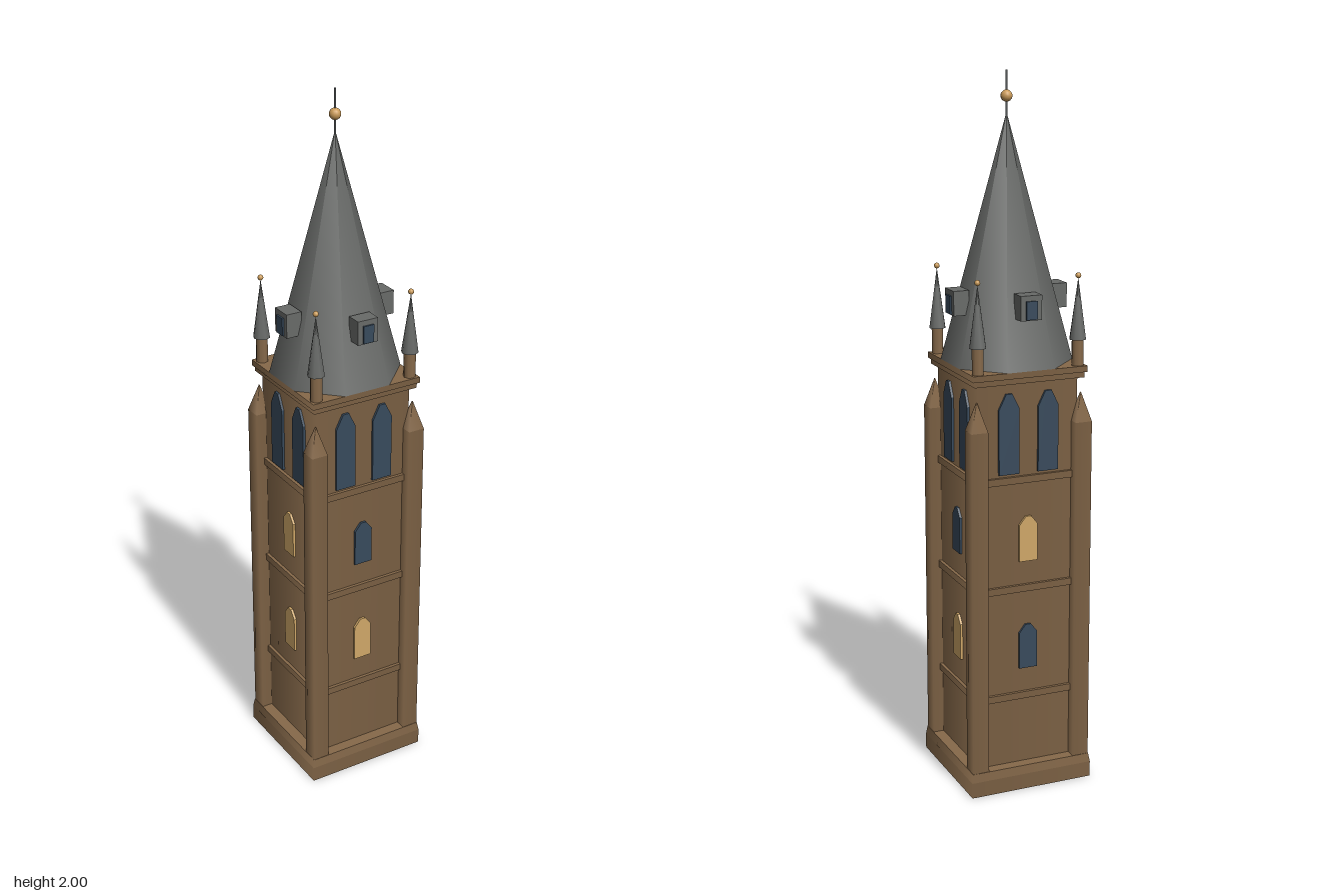
import * as THREE from 'three';

const mat = (name, color) => {
  const m = new THREE.MeshStandardMaterial({ color });
  m.name = name;
  return m;
};

export function createModel() {
  const stone = mat('stone', 0x86694a);
  const slate = mat('slate', 0x686a68);
  const glass = mat('dark glass', 0x384a5c);
  const litGlass = mat('lit glass', 0xcfa768);
  const gold = mat('gilding', 0xc99a58);
  const iron = mat('iron', 0x55585a);

  const tower = new THREE.Group();
  tower.name = 'tower';

  const add = (parent, name, geometry, material, x = 0, y = 0, z = 0) => {
    const mesh = new THREE.Mesh(geometry, material);
    mesh.name = name;
    mesh.position.set(x, y, z);
    parent.add(mesh);
    return mesh;
  };

  // Square block from y0 to y1 with half widths at bottom and top
  const block = (bottom, top, y0, y1) => {
    const r = Math.SQRT2;
    return new THREE.CylinderGeometry(top * r, bottom * r, y1 - y0, 4)
      .rotateY(Math.PI / 4)
      .translate(0, (y0 + y1) / 2, 0);
  };

  // Thin pointed window plate, bottom centre at the origin
  const windowPlate = (w, h, rise) => {
    const shape = new THREE.Shape([
      [-w, 0], [w, 0], [w, h - rise], [w * 0.3, h], [-w * 0.3, h], [-w, h - rise],
    ].map(([x, y]) => new THREE.Vector2(x, y)));
    return new THREE.ExtrudeGeometry(shape, { depth: 0.009, bevelEnabled: false });
  };

  // Plinth, shaft, string courses and cornice
  add(tower, 'plinth', block(0.183, 0.183, 0, 0.045), stone);
  add(tower, 'plinthTop', block(0.183, 0.179, 0.045, 0.07), stone);
  add(tower, 'shaft', block(0.147, 0.147, 0.07, 1.19), stone);
  for (const y of [0.275, 0.595, 0.91]) {
    add(tower, 'stringCourse', block(0.156, 0.156, y - 0.01, y + 0.01), stone);
  }
  add(tower, 'corniceLower', block(0.162, 0.162, 1.182, 1.198), stone);
  add(tower, 'corniceUpper', block(0.168, 0.168, 1.198, 1.215), stone);

  // Corner buttresses and pinnacles
  for (const sx of [-1, 1]) {
    for (const sz of [-1, 1]) {
      const bx = 0.154 * sx, bz = 0.154 * sz;
      add(tower, 'buttress', block(0.024, 0.024, 0.07, 1.06), stone, bx, 0, bz);
      add(tower, 'buttressCap', block(0.024, 0.001, 1.06, 1.14), stone, bx, 0, bz);

      const pinnacle = new THREE.Group();
      pinnacle.name = 'pinnacle';
      pinnacle.position.set(0.147 * sx, 1.215, 0.147 * sz);
      tower.add(pinnacle);
      add(pinnacle, 'pinnacleBase', new THREE.CylinderGeometry(0.017, 0.017, 0.074, 8), stone, 0, 0.037);
      add(pinnacle, 'pinnacleRoof', new THREE.ConeGeometry(0.024, 0.17, 8), slate, 0, 0.157);
      add(pinnacle, 'pinnacleBall', new THREE.SphereGeometry(0.008, 10, 8), gold, 0, 0.247);
    }
  }

  // Four faces, turning from front to left, back and right
  const belfry = windowPlate(0.03, 0.226, 0.042);
  const small = windowPlate(0.027, 0.13, 0.024);
  const lower = [litGlass, litGlass, glass, litGlass];
  const upper = [glass, glass, litGlass, litGlass];
  for (let i = 0; i < 4; i++) {
    const face = new THREE.Group();
    face.name = 'towerFace';
    face.rotation.y = i * Math.PI / 2;
    tower.add(face);
    add(face, 'lowerWindow', small, lower[i], 0, 0.356, 0.145);
    add(face, 'upperWindow', small, upper[i], 0, 0.673, 0.145);
    for (const s of [-1, 1]) add(face, 'belfryWindow', belfry, glass, 0.058 * s, 0.928, 0.145);
    // Dormer on the spire
    add(face, 'dormer', new THREE.BoxGeometry(0.062, 0.068, 0.045), slate, 0, 1.387, 0.1455);
    add(face, 'dormerWindow', new THREE.BoxGeometry(0.032, 0.05, 0.008), glass, 0, 1.381, 0.169);
  }

  // Octagonal spire with flats facing the four sides
  const spire = new THREE.ConeGeometry(0.182, 0.675, 8).rotateY(Math.PI / 8);
  add(tower, 'spire', spire, slate, 0, 1.5525, 0);

  // Finial
  add(tower, 'finialRod', new THREE.CylinderGeometry(0.003, 0.003, 0.13, 8), iron, 0, 1.935, 0);
  add(tower, 'finialBall', new THREE.SphereGeometry(0.016, 14, 10), gold, 0, 1.932, 0);

  return tower;
}
